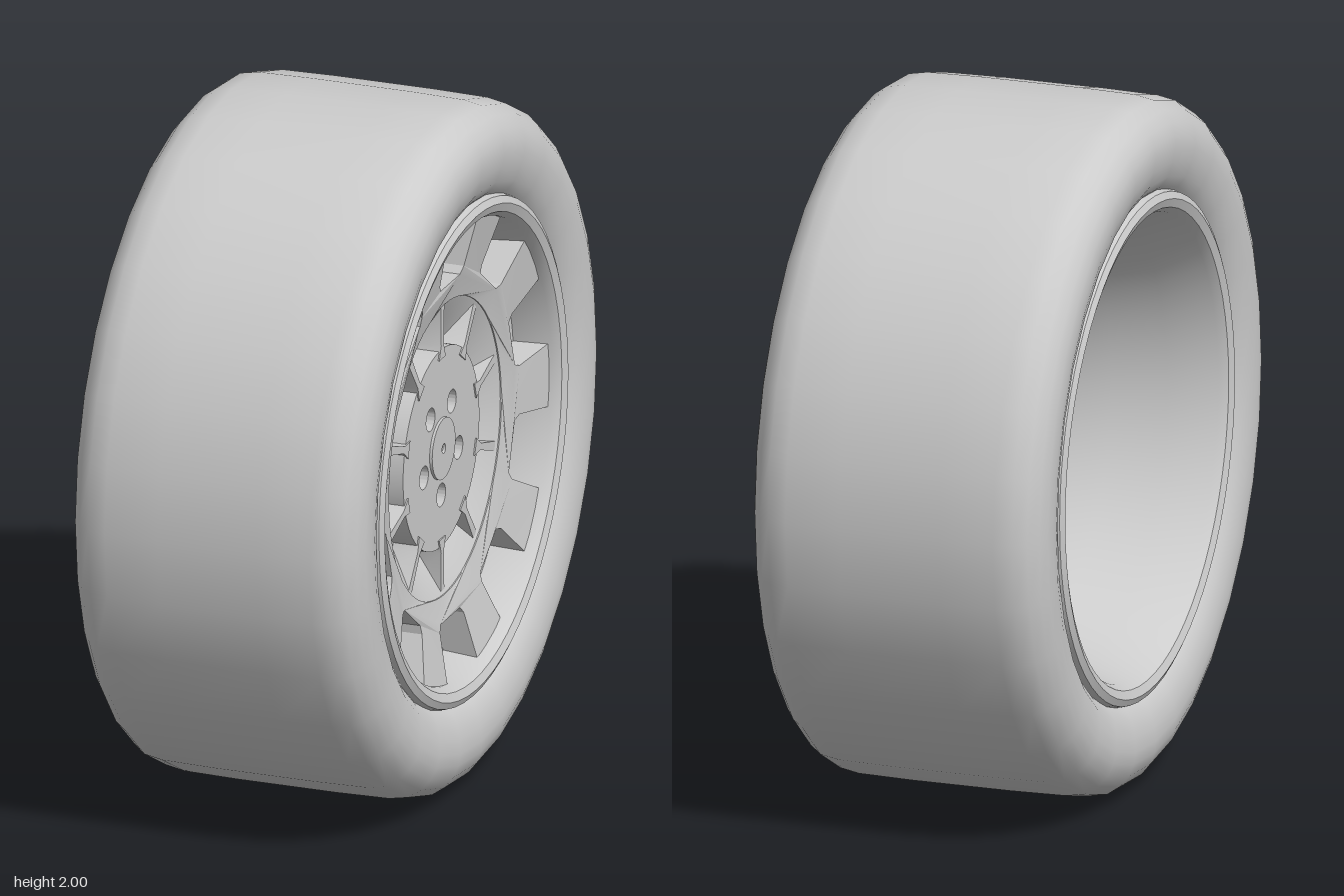
import * as THREE from 'three';
import { toCreasedNormals } from 'three/addons/utils/BufferGeometryUtils.js';

const grey = new THREE.MeshStandardMaterial({ color: 0xcccccc });
const SPOKES = 10;
const STEP = (Math.PI * 2) / SPOKES;

function part(name, geometry, crease = 0.6) {
  const mesh = new THREE.Mesh(toCreasedNormals(geometry, crease), grey);
  mesh.name = name;
  return mesh;
}

// Turned part around z; profile points are [z, radius]
function turned(profile, segments) {
  const points = profile.map(([z, r]) => new THREE.Vector2(r, z));
  return new THREE.LatheGeometry(points, segments).rotateX(Math.PI / 2);
}

// Flat part extruded from z0 to z1
function plate(shape, z0, z1) {
  return new THREE.ExtrudeGeometry(shape, { depth: z1 - z0, bevelEnabled: false, curveSegments: 40 }).translate(0, 0, z0);
}

function circle(r, x = 0, y = 0, Type = THREE.Path) {
  return new Type().absarc(x, y, r, 0, Math.PI * 2, false);
}

function turn(x, y, a) {
  return new THREE.Vector2(x * Math.cos(a) - y * Math.sin(a), x * Math.sin(a) + y * Math.cos(a));
}

// Mirrors a half profile so both sides of the wheel match
function symmetric(half) {
  return [...half.map(([z, r]) => [-z, r]), ...[...half].reverse()];
}

// Hub disc with five bolt holes
function boltDisc(radius, holeRadius, centreRadius) {
  const shape = circle(radius, 0, 0, THREE.Shape);
  for (let i = 0; i < 5; i++) {
    const p = turn(0.14, 0, -Math.PI / 2 + (i * Math.PI * 2) / 5);
    shape.holes.push(circle(holeRadius, p.x, p.y));
  }
  if (centreRadius) shape.holes.push(circle(centreRadius));
  return shape;
}

export function createModel() {
  const model = new THREE.Group();
  model.name = 'wheel';

  // The wheel is built facing +z and then turned to face +x
  const wheel = new THREE.Group();
  wheel.name = 'wheelAssembly';
  wheel.rotation.y = Math.PI / 2;
  wheel.position.y = 1;
  model.add(wheel);

  // Tyre with rounded shoulders and sidewalls dipping to the bead
  wheel.add(part('tyre', turned(symmetric([
    [0.34, 0.69], [0.38, 0.72], [0.405, 0.745], [0.425, 0.775], [0.437, 0.82], [0.442, 0.86],
    [0.438, 0.895], [0.425, 0.93], [0.4, 0.962], [0.365, 0.987], [0.31, 0.997], [0.15, 1],
  ]), 32), 1));

  // Rim: outer skin from back to front, then the barrel's inside from front to back
  wheel.add(part('rim', turned([
    [-0.39, 0.67], [-0.415, 0.685], [-0.425, 0.71], [-0.415, 0.73], [-0.39, 0.737], [-0.36, 0.72],
    [-0.33, 0.69], [0, 0.64], [0.33, 0.69],
    [0.36, 0.72], [0.39, 0.737], [0.415, 0.73], [0.425, 0.71], [0.415, 0.685], [0.39, 0.67],
    [0.28, 0.66], [0.26, 0.605], [0.18, 0.595], [0.14, 0.55],
    [0.06, 0.55], [-0.1, 0.59], [-0.25, 0.63], [-0.39, 0.67],
  ], 64)));

  // Spoke ring: ten flared spokes with trapezoid windows between them
  const outline = [];
  for (let i = 0; i < SPOKES; i++) {
    const a = i * STEP;
    outline.push(turn(0.668, -0.095, a), turn(0.668, 0.095, a));
    outline.push(turn(0.52, -0.092, a + STEP / 2), turn(0.5, -0.075, a + STEP / 2));
    outline.push(turn(0.5, 0.075, a + STEP / 2), turn(0.52, 0.092, a + STEP / 2));
  }
  const spokeShape = new THREE.Shape(outline);
  spokeShape.holes.push(circle(0.435));
  const spokes = plate(spokeShape, 0.22, 0.33);
  const p = spokes.attributes.position;
  for (let i = 0; i < p.count; i++) { // spoke tips lean forward
    const r = Math.hypot(p.getX(i), p.getY(i));
    p.setZ(i, p.getZ(i) + (r - 0.435) * 0.22);
  }
  wheel.add(part('spokes', spokes, 0.3));

  // Dish whose floor slopes inward to form the pockets
  wheel.add(part('dish', turned([
    [0.15, 0.2], [0.15, 0.425], [0.16, 0.44], [0.328, 0.44], [0.325, 0.43], [0.245, 0.31], [0.245, 0.2],
  ], 80), 0.4));

  // Thin ribs between the pockets, widening outward into the spoke ring
  const ribShape = new THREE.Shape([
    new THREE.Vector2(0.27, -0.025), new THREE.Vector2(0.31, -0.01), new THREE.Vector2(0.44, -0.014),
    new THREE.Vector2(0.44, 0.014), new THREE.Vector2(0.31, 0.01), new THREE.Vector2(0.27, 0.025),
  ]);
  const ribs = new THREE.Group();
  ribs.name = 'ribs';
  for (let i = 0; i < SPOKES; i++) {
    const rib = part('rib', plate(ribShape, 0.2, 0.322));
    rib.rotation.z = (i + 0.5) * STEP;
    ribs.add(rib);
  }
  wheel.add(ribs);

  // Hub with stepped bolt holes
  wheel.add(part('hubBack', plate(boltDisc(0.28, 0.02), 0.15, 0.285)));
  wheel.add(part('hubFace', plate(boltDisc(0.295, 0.034), 0.245, 0.318)));

  // Centre cap with a small middle recess
  const cap = circle(0.09, 0, 0, THREE.Shape);
  cap.holes.push(circle(0.014));
  wheel.add(part('centreCap', plate(cap, 0.31, 0.326)));

  return model;
}
